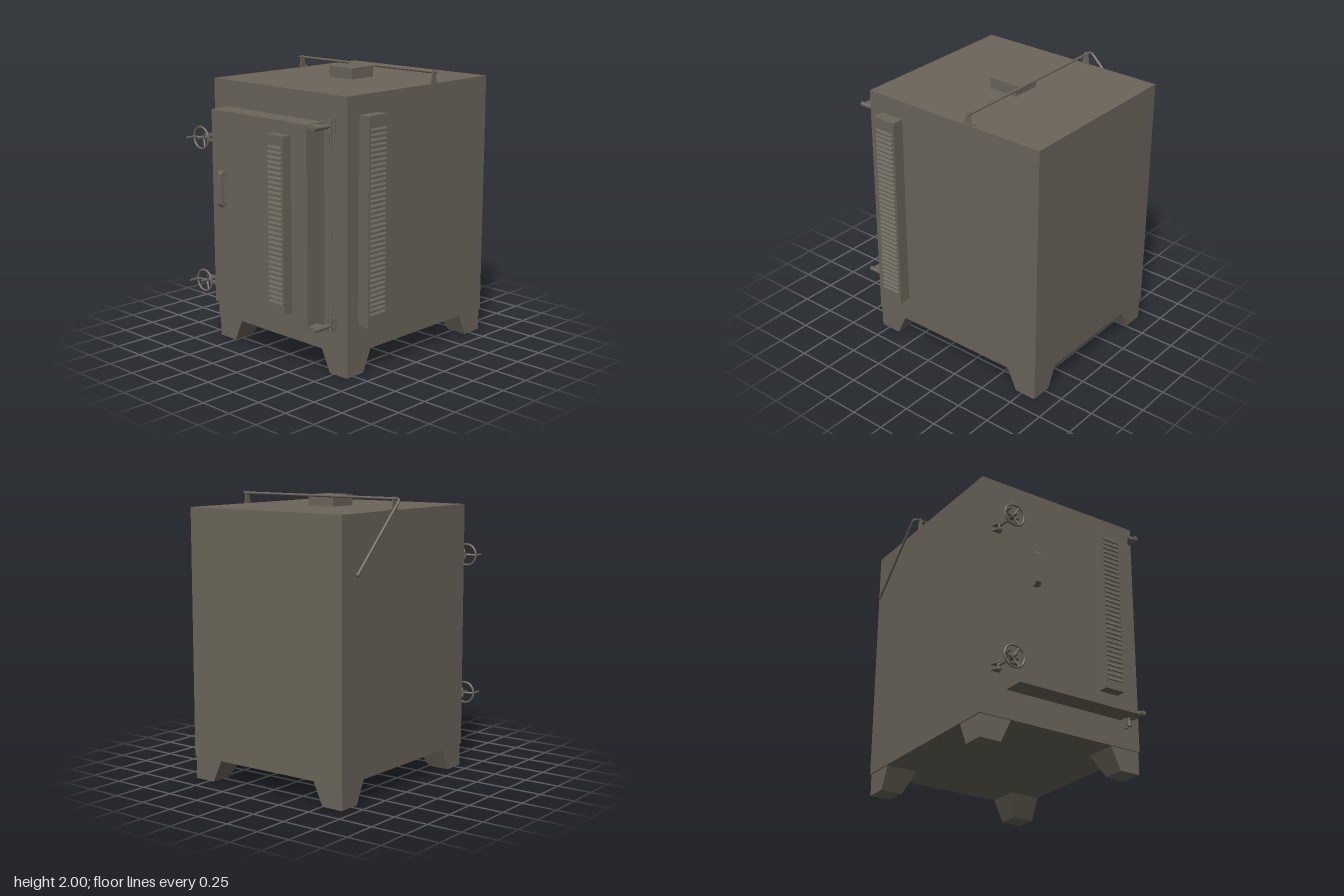
import * as THREE from 'three';

const steel = new THREE.MeshStandardMaterial({ color: 0x6b655a });
steel.name = 'warm grey steel';

export function createModel() {
  const model = new THREE.Group();
  model.name = 'industrialOven';

  const add = (name, geo, parent = model) => {
    const mesh = new THREE.Mesh(geo, steel);
    mesh.name = name;
    parent.add(mesh);
    return mesh;
  };
  // box given by its limits on each axis
  const box = (name, x0, x1, y0, y1, z0, z1, parent) => {
    const m = add(name, new THREE.BoxGeometry(x1 - x0, y1 - y0, z1 - z0), parent);
    m.position.set((x0 + x1) / 2, (y0 + y1) / 2, (z0 + z1) / 2);
    return m;
  };
  // round bar between two points
  const bar = (name, a, b, r, parent, r2 = r) => {
    const p = new THREE.Vector3(...a), q = new THREE.Vector3(...b);
    const m = add(name, new THREE.CylinderGeometry(r2, r, p.distanceTo(q), 14), parent);
    m.position.copy(p).lerp(q, 0.5);
    m.quaternion.setFromUnitVectors(new THREE.Vector3(0, 1, 0), q.sub(p).normalize());
    return m;
  };
  // flat plate from outline points, thickness centred on its plane
  const plate = (points, depth, hole) => {
    const s = new THREE.Shape(points.map(p => new THREE.Vector2(...p)));
    if (hole) s.holes.push(new THREE.Path(hole.map(p => new THREE.Vector2(...p))));
    return new THREE.ExtrudeGeometry(s, { depth, bevelEnabled: false }).translate(0, 0, -depth / 2);
  };

  // Cabinet
  box('cabinet', -0.67, 0.628, 0.165, 1.91, -0.866, 0.57);

  // Feet: outer faces upright, inner faces slanting outward to the top
  for (const sx of [-1, 1]) for (const sz of [-1, 1]) {
    const geo = new THREE.BoxGeometry(0.235, 0.16, 0.235);
    const p = geo.attributes.position;
    for (let i = 0; i < p.count; i++) {
      if (p.getY(i) > 0) continue;
      if (p.getX(i) * sx < 0) p.setX(i, p.getX(i) + sx * 0.075);
      if (p.getZ(i) * sz < 0) p.setZ(i, p.getZ(i) + sz * 0.075);
    }
    geo.computeVertexNormals();
    add('foot', geo).position.set(
      sx > 0 ? 0.622 - 0.1175 : -0.663 + 0.1175, 0.083,
      sz > 0 ? 0.564 - 0.1175 : -0.858 + 0.1175);
  }

  // Door and its seal
  box('doorSeal', -0.465, 0.42, 0.375, 1.705, 0.56, 0.602);
  box('door', -0.488, 0.446, 0.35, 1.73, 0.6, 0.755);

  // Louvred vent facing +z: housing with rows of hooded slats
  const vent = (name, w, h, d, slatW, y0, y1, count) => {
    const g = new THREE.Group();
    g.name = name;
    box('ventHousing', -w / 2, w / 2, -h / 2, h / 2, 0, d, g);
    const pitch = (y1 - y0) / count, t = pitch * 0.62;
    const slat = plate([[0, 0], [0.012, 0], [0.012, t * 0.35], [0, t]], slatW)
      .rotateY(-Math.PI / 2);
    for (let i = 0; i < count; i++) {
      add('louvre', slat, g).position.set(0, y0 + pitch * (i + 0.2), d - 0.0005);
    }
    model.add(g);
    return g;
  };
  vent('doorVent', 0.15, 1.205, 0.074, 0.128, -0.547, 0.54, 32).position.set(0.224, 1.0425, 0.754);
  const side = vent('sideVent', 0.176, 1.43, 0.086, 0.146, -0.64, 0.64, 38);
  side.position.set(0.627, 1.065, 0.368);
  side.rotation.y = Math.PI / 2;

  // Door pull
  const pull = add('doorHandle', plate(
    [[0, -0.127], [0.03, -0.127], [0.047, -0.105], [0.047, 0.105], [0.03, 0.127], [0, 0.127]], 0.042,
    [[0.004, -0.1], [0.004, 0.1], [0.03, 0.09], [0.03, -0.09]]).rotateY(-Math.PI / 2));
  pull.position.set(-0.367, 1.187, 0.754);

  // Swing-bolt handwheels
  for (const y of [1.525, 0.495]) {
    const g = new THREE.Group();
    g.name = 'handwheel';
    g.position.set(-0.557, y, 0);
    for (const s of [-1, 1]) {
      const cheek = add('boltBracket', plate(
        [[-0.037, -0.568], [0.037, -0.568], [0.014, -0.63], [-0.014, -0.63]], 0.01)
        .rotateX(-Math.PI / 2), g);
      cheek.position.y = s * 0.02;
      box('boltFork', -0.02, 0.07, s * 0.019 - 0.007, s * 0.019 + 0.007, 0.722, 0.75, g);
    }
    bar('pivotPin', [0, -0.03, 0.615], [0, 0.03, 0.615], 0.012, g);
    bar('swingBolt', [0, 0, 0.61], [0, 0, 0.825], 0.008, g);
    bar('hub', [0, 0, 0.752], [0, 0, 0.785], 0.02, g, 0.014);
    add('rim', new THREE.TorusGeometry(0.076, 0.008, 8, 32), g).position.z = 0.795;
    for (const a of [Math.PI, Math.PI / 3, -Math.PI / 3]) {
      bar('spoke', [0, 0, 0.772], [Math.cos(a) * 0.076, Math.sin(a) * 0.076, 0.795], 0.007, g);
    }
    bar('wheelGrip', [-0.073, 0, 0.79], [-0.073, 0, 0.867], 0.008, g);
    model.add(g);
  }

  // Hinges, mirrored top and bottom
  for (const s of [-1, 1]) {
    const g = new THREE.Group();
    g.name = 'hinge';
    g.position.y = 1.04;
    const y = s * 0.674;
    box('hingePlate', 0.499, 0.53, y - 0.055, y + 0.05, 0.565, 0.583, g);
    box('hingeLug', 0.505, 0.525, y - 0.035, y - 0.02, 0.58, 0.62, g);
    box('hingeLug', 0.505, 0.525, y + 0.02, y + 0.035, 0.58, 0.62, g);
    bar('hingeBarrel', [0.515, y - 0.05, 0.612], [0.515, y + 0.05, 0.612], 0.014, g);
    bar('hingeArm', [0.515, y, 0.612], [0.515, y, 0.65], 0.012, g);
    bar('hingeSleeve', [0.515, y, 0.645], [0.515, y, 0.765], 0.017, g);
    box('hingeDoorTab', 0.44, 0.51, y - 0.012, y + 0.012, 0.66, 0.75, g);
    model.add(g);
  }
  bar('hingeRod', [0.515, 0.36, 0.606], [0.515, 1.72, 0.606], 0.009);

  // Roof flue with its flap
  box('flue', -0.13, 0.088, 1.9, 1.98, -0.257, -0.04);
  box('flueFlap', -0.13, 0.088, 1.978, 1.988, -0.3, -0.04);

  // Flap shaft supports
  for (const [x, s] of [[-0.662, 1], [0.62, -1]]) {
    const support = add('shaftSupport', plate(
      [[0.257, 1.905], [0.322, 1.905], [0.306, 1.998], [0.28, 1.998]], 0.007).rotateY(Math.PI / 2));
    support.position.x = x;
    const edge = x + s * 0.028;
    box('supportFoot', Math.min(x, edge), Math.max(x, edge), 1.905, 1.917, -0.33, -0.322);
  }

  // Flap shaft bent into a lever
  const path = new THREE.CurvePath();
  const v = (...p) => new THREE.Vector3(...p);
  path.add(new THREE.LineCurve3(v(0.64, 1.985, -0.297), v(-0.685, 1.985, -0.297)));
  path.add(new THREE.QuadraticBezierCurve3(
    v(-0.685, 1.985, -0.297), v(-0.712, 1.985, -0.297), v(-0.713, 1.966, -0.317)));
  path.add(new THREE.LineCurve3(v(-0.713, 1.966, -0.317), v(-0.716, 1.53, -0.763)));
  add('flapLever', new THREE.TubeGeometry(path, 120, 0.0095, 10));
  bar('shaftEnd', [0.634, 1.985, -0.297], [0.641, 1.985, -0.297], 0.012);
  add('leverKnob', new THREE.SphereGeometry(0.013, 14, 10)).position.set(-0.715, 1.53, -0.763);

  return model;
}
